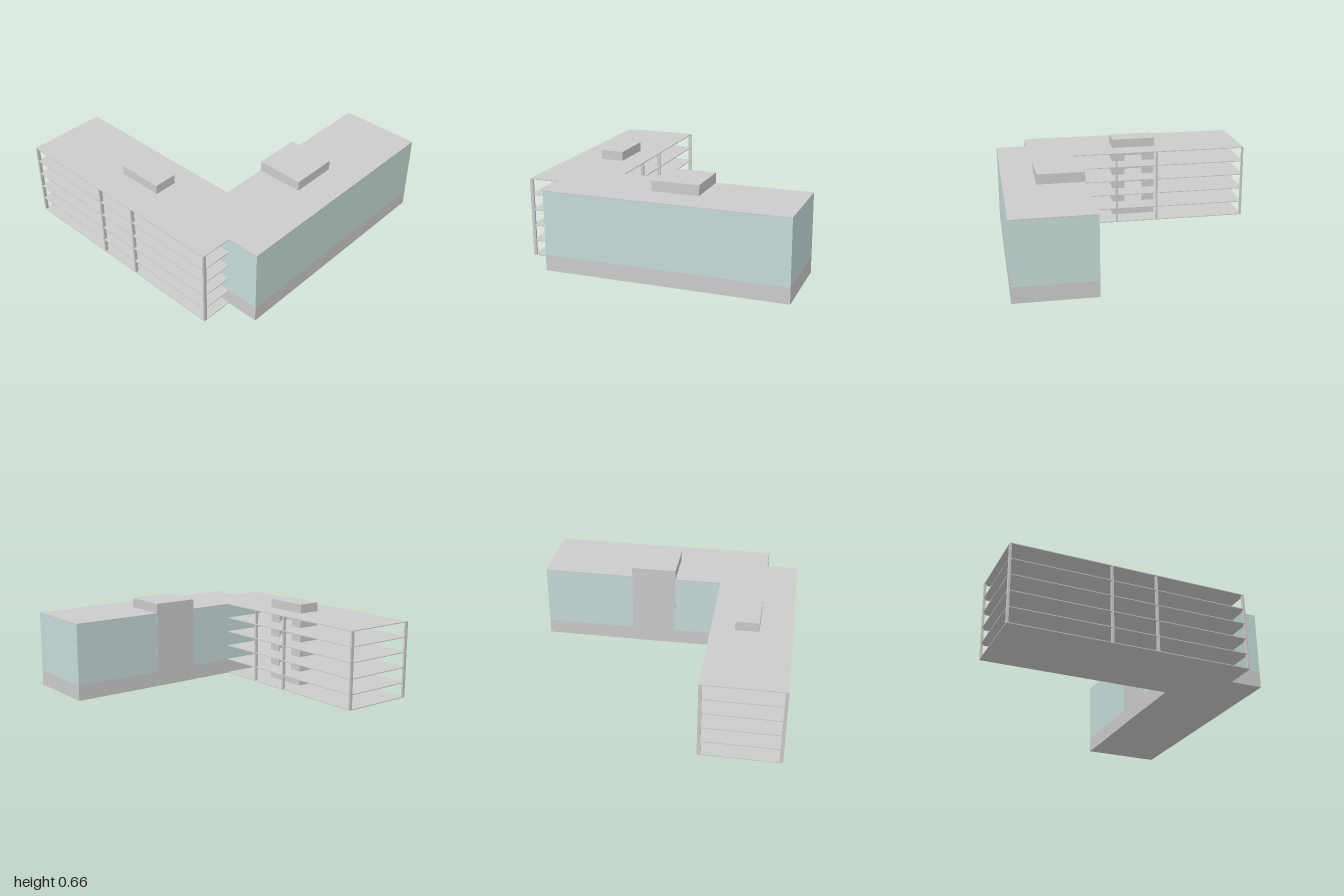
import * as THREE from 'three';

const grey = new THREE.MeshStandardMaterial({ color: 0xcccccc });
const glass = new THREE.MeshStandardMaterial({ color: 0xc6dbd8 });
const FLOORS = [0, 0.113, 0.23, 0.348, 0.464, 0.579]; // undersides of the slabs
const SLAB = 0.006;
const BASE = 0.117;

// Box given by its extents
function box(name, x0, x1, y0, y1, z0, z1, material = grey) {
  const mesh = new THREE.Mesh(new THREE.BoxGeometry(x1 - x0, y1 - y0, z1 - z0), material);
  mesh.position.set((x0 + x1) / 2, (y0 + y1) / 2, (z0 + z1) / 2);
  mesh.name = name;
  return mesh;
}

// Extrude a floor plan of [x, z] points upward from y0 to y1
function plan(name, points, y0, y1, material = grey, hole = null) {
  const toVectors = (list) => list.map(([x, z]) => new THREE.Vector2(x, -z));
  const shape = new THREE.Shape(toVectors(points));
  if (hole) shape.holes.push(new THREE.Path(toVectors(hole)));
  const geometry = new THREE.ExtrudeGeometry(shape, { depth: y1 - y0, bevelEnabled: false });
  geometry.rotateX(-Math.PI / 2);
  const mesh = new THREE.Mesh(geometry, material);
  mesh.position.y = y0;
  mesh.name = name;
  return mesh;
}

const rect = (x0, x1, z0, z1) => [[x0, z0], [x1, z0], [x1, z1], [x0, z1]];

// Rectangular ring of wall
function ring(name, x0, x1, z0, z1, y0, y1, t, material) {
  return plan(name, rect(x0, x1, z0, z1), y0, y1, material, rect(x0 + t, x1 - t, z0 + t, z1 - t));
}

// L-shaped floor outline; d pulls the enclosed wing's edges inside its walls
const outline = (d) => [
  [-1, -1], [-0.41, -1], [-0.41, 0.408 + d], [1 - d, 0.408 + d],
  [1 - d, 1 - d], [-0.76 + d, 1 - d], [-0.76 + d, 0.757], [-1, 0.757],
];

export function createModel() {
  const model = new THREE.Group();
  model.name = 'building';

  // Floor slabs and roof
  FLOORS.forEach((y, i) => {
    const roof = i === FLOORS.length - 1;
    model.add(plan(roof ? 'roofSlab' : 'floorSlab', outline(roof ? 0 : 0.003), y, y + SLAB));
  });

  // Enclosed wing: solid ground floor with glazing above
  model.add(ring('groundFloorWall', -0.76, 1, 0.408, 1, 0, BASE, 0.01, grey));
  model.add(ring('glassFacade', -0.76, 1, 0.408, 1, BASE, 0.579, 0.005, glass));

  // Stair core of the enclosed wing
  model.add(box('stairCore', -0.053, 0.295, 0, 0.66, 0.406, 0.757));

  // Columns along both long sides of the open wing
  const columns = new THREE.Group();
  columns.name = 'columns';
  for (const z of [-0.993, -0.274, 0.058]) {
    for (const x of [-0.988, -0.422]) {
      columns.add(box('column', x - 0.012, x + 0.012, 0, 0.579, z - 0.007, z + 0.007));
    }
  }
  columns.add(box('column', -1, -0.976, 0, 0.579, 0.743, 0.757));
  model.add(columns);

  // Open wing's core: closed base, doorway on each upper floor, closed roof box
  const core = new THREE.Group();
  core.name = 'openWingCore';
  core.add(ring('coreBase', -0.76, -0.585, -0.283, 0.065, 0, BASE, 0.012, grey));
  core.add(plan('coreWall', [
    [-0.76, -0.283], [-0.585, -0.283], [-0.585, -0.18], [-0.597, -0.18],
    [-0.597, -0.271], [-0.748, -0.271], [-0.748, 0.053], [-0.597, 0.053],
    [-0.597, -0.035], [-0.585, -0.035], [-0.585, 0.065], [-0.76, 0.065],
  ], BASE, 0.583));
  core.add(box('coreRoof', -0.76, -0.585, 0.583, 0.655, -0.283, 0.065));
  model.add(core);

  return model;
}
